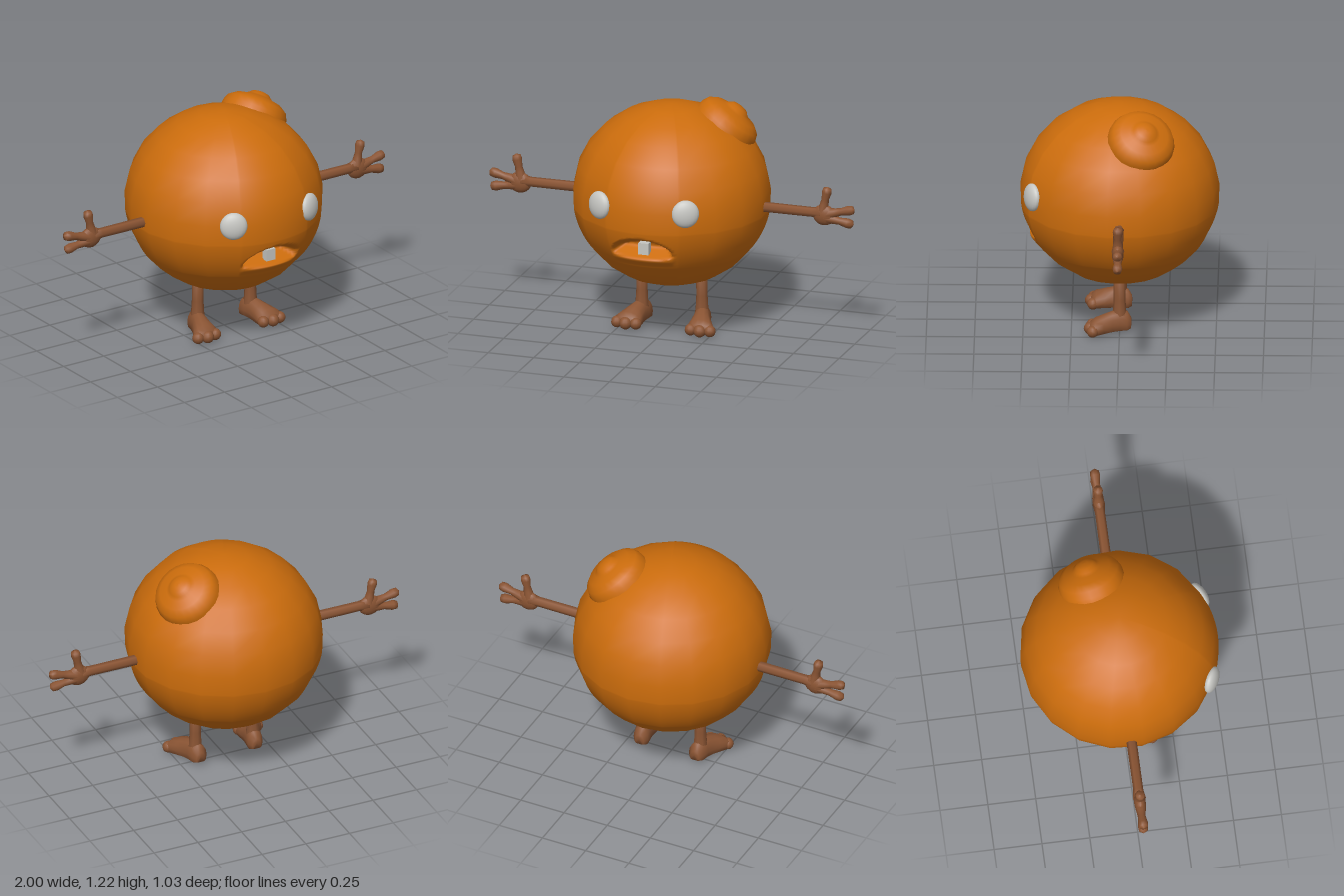
import * as THREE from 'three';
import { mergeVertices } from 'three/addons/utils/BufferGeometryUtils.js';

const mat = (name, color) => {
  const m = new THREE.MeshStandardMaterial({ color });
  m.name = name;
  return m;
};
const V = (x, y, z) => new THREE.Vector3(x, y, z);
const clamp = (t) => Math.min(1, Math.max(0, t));
const range = (a, b, n) => Array.from({ length: n + 1 }, (_, i) => a + (b - a) * i / n);

// Smooth closed skin over rows of points, with the same count in each row
function skin(rows) {
  const n = rows[0].length, index = [];
  for (let i = 0; i < rows.length - 1; i++) {
    for (let j = 0; j < n; j++) {
      const k = (j + 1) % n;
      const a = i * n + j, b = i * n + k, c = (i + 1) * n + k, d = (i + 1) * n + j;
      index.push(a, b, c, a, c, d);
    }
  }
  let g = new THREE.BufferGeometry().setFromPoints(rows.flat());
  g.setIndex(index);
  g = mergeVertices(g, 1e-5);
  g.computeVertexNormals();
  return g;
}

// Round body: coarse facets, with a finer patch where the mouth is pressed in
function bodyGeometry() {
  const lats = [-Math.PI / 2, -1.33, -1.08, -0.84, ...range(-0.62, -0.14, 24),
    ...range(0.08, Math.PI / 2, 6)];
  const azimuths = [...range(-0.42, 0.42, 28), ...range(0.78, 2 * Math.PI - 0.78, 14)];
  return skin(lats.map((lat) => azimuths.map((az) => {
    const r = 0.517 * Math.cos(lat);
    const x = r * Math.sin(az), y = 0.723 + 0.484 * Math.sin(lat);
    let z = r * Math.cos(az);
    const u = (x + 0.01) / 0.165;
    if (z > 0 && Math.abs(u) < 1) {
      const side = Math.sqrt(1 - u * u);
      const top = 0.52 + 0.1 * side, floor = 0.515 - 0.015 * side;
      z -= 0.11 * clamp((top - y) / 0.045) * clamp((y - floor) / 0.045);
      z += 0.012 * Math.sqrt(side) * clamp(1 - Math.abs(y - 0.49) / 0.03); // lower lip
    }
    return V(x, y, z);
  })));
}

// Turned limb from a to b; profile holds [radius, fraction of the length]
function limb(a, b, profile, sides) {
  const dir = b.clone().sub(a), len = dir.length();
  const g = new THREE.LatheGeometry(profile.map(([r, t]) => new THREE.Vector2(r, t * len)), sides);
  g.applyQuaternion(new THREE.Quaternion().setFromUnitVectors(V(0, 1, 0), dir.normalize()));
  return g.translate(a.x, a.y, a.z);
}

export function createModel() {
  const orange = mat('orange skin', 0xcb6c0c);
  const brown = mat('brown limbs', 0x8a5433);
  const white = mat('off white', 0xc6c6c2);
  const model = new THREE.Group();
  const add = (parent, name, geometry, material) => {
    const m = new THREE.Mesh(geometry, material);
    m.name = name;
    parent.add(m);
    return m;
  };

  add(model, 'body', bodyGeometry(), orange);

  // Two-step lump on the crown
  const lump = [[0.178, 0.44], [0.175, 0.48], [0.16, 0.515], [0.125, 0.54], [0.08, 0.552],
    [0.062, 0.562], [0.045, 0.578], [0.02, 0.584], [0, 0.585]];
  const lumpMesh = add(model, 'headLump',
    new THREE.LatheGeometry(lump.map(([r, y]) => new THREE.Vector2(r, y)), 24), orange);
  lumpMesh.position.y = 0.72;
  lumpMesh.quaternion.setFromUnitVectors(V(0, 1, 0), V(0.29, 0.41, -0.125).normalize());

  // Eyes: flattened balls lying on the skin
  for (const [name, x] of [['leftEye', 0.228], ['rightEye', -0.243]]) {
    const eye = add(model, name, new THREE.SphereGeometry(1, 20, 14), white);
    eye.scale.set(0.072, 0.073, 0.034);
    eye.position.set(x, 0.768, 0.452);
    eye.quaternion.setFromUnitVectors(V(0, 0, 1), V(x, 0.05, 0.46).normalize());
  }

  // Single tooth under the upper lip
  add(model, 'tooth', new THREE.BoxGeometry(0.055, 0.062, 0.04), white)
    .position.set(-0.005, 0.55, 0.425);

  // Arms, hands, legs and feet, mirrored
  const finger = [[0.03, 0], [0.023, 0.3], [0.019, 0.5], [0.026, 0.78], [0.022, 0.93], [0, 1]];
  const fingers = [
    ['thumb', V(0.825, 0.705, 0), V(0.853, 0.842, 0)],
    ['upperFinger', V(0.85, 0.695, 0), V(1, 0.733, 0)],
    ['lowerFinger', V(0.84, 0.675, 0), V(0.995, 0.65, 0)],
  ];
  const soles = [ // z, centre x, half width, bottom, top
    [-0.062, 0.16, 0, 0.06, 0.06], [-0.06, 0.16, 0.025, 0.025, 0.08],
    [-0.04, 0.16, 0.042, 0.016, 0.115], [0, 0.167, 0.045, 0.016, 0.125],
    [0.035, 0.176, 0.048, 0.014, 0.12], [0.08, 0.188, 0.06, 0.01, 0.105],
    [0.125, 0.2, 0.075, 0.008, 0.088], [0.15, 0.204, 0.066, 0.014, 0.068],
    [0.16, 0.204, 0, 0.04, 0.04],
  ];
  const footRows = soles.map(([z, cx, w, lo, hi]) => range(0, 2 * Math.PI, 14).slice(0, 14)
    .map((a) => V(cx + w * Math.cos(a),
      lo + (hi - lo) * clamp(0.35 + 0.65 * Math.sin(a)), z)));

  for (const [side, s] of [['left', 1], ['right', -1]]) {
    const arm = new THREE.Group();
    arm.name = side + 'Arm';
    arm.scale.x = s;
    add(arm, 'forearm', limb(V(0.46, 0.697, 0), V(0.82, 0.697, 0),
      [[0, 0], [0.027, 0], [0.026, 0.86], [0.034, 1], [0, 1]], 6), brown);
    const palm = add(arm, 'palm', new THREE.SphereGeometry(1, 14, 10), brown);
    palm.scale.set(0.062, 0.056, 0.031);
    palm.position.set(0.832, 0.688, 0);
    for (const [name, a, b] of fingers) add(arm, name, limb(a, b, finger, 10), brown);
    model.add(arm);

    const leg = new THREE.Group();
    leg.name = side + 'Leg';
    leg.scale.x = s;
    add(leg, 'shin', limb(V(0.165, 0.07, 0), V(0.163, 0.29, 0),
      [[0.04, 0], [0.034, 0.25], [0.031, 0.5], [0.031, 1], [0, 1]], 8), brown);
    add(leg, 'foot', skin(footRows), brown);
    for (const [x, z, r] of [[0.15, 0.142, 0.031], [0.203, 0.152, 0.033], [0.254, 0.138, 0.031]]) {
      const toe = add(leg, 'toe', new THREE.SphereGeometry(r, 12, 8), brown);
      toe.position.set(x, 0.034, z);
    }
    model.add(leg);
  }
  return model;
}
